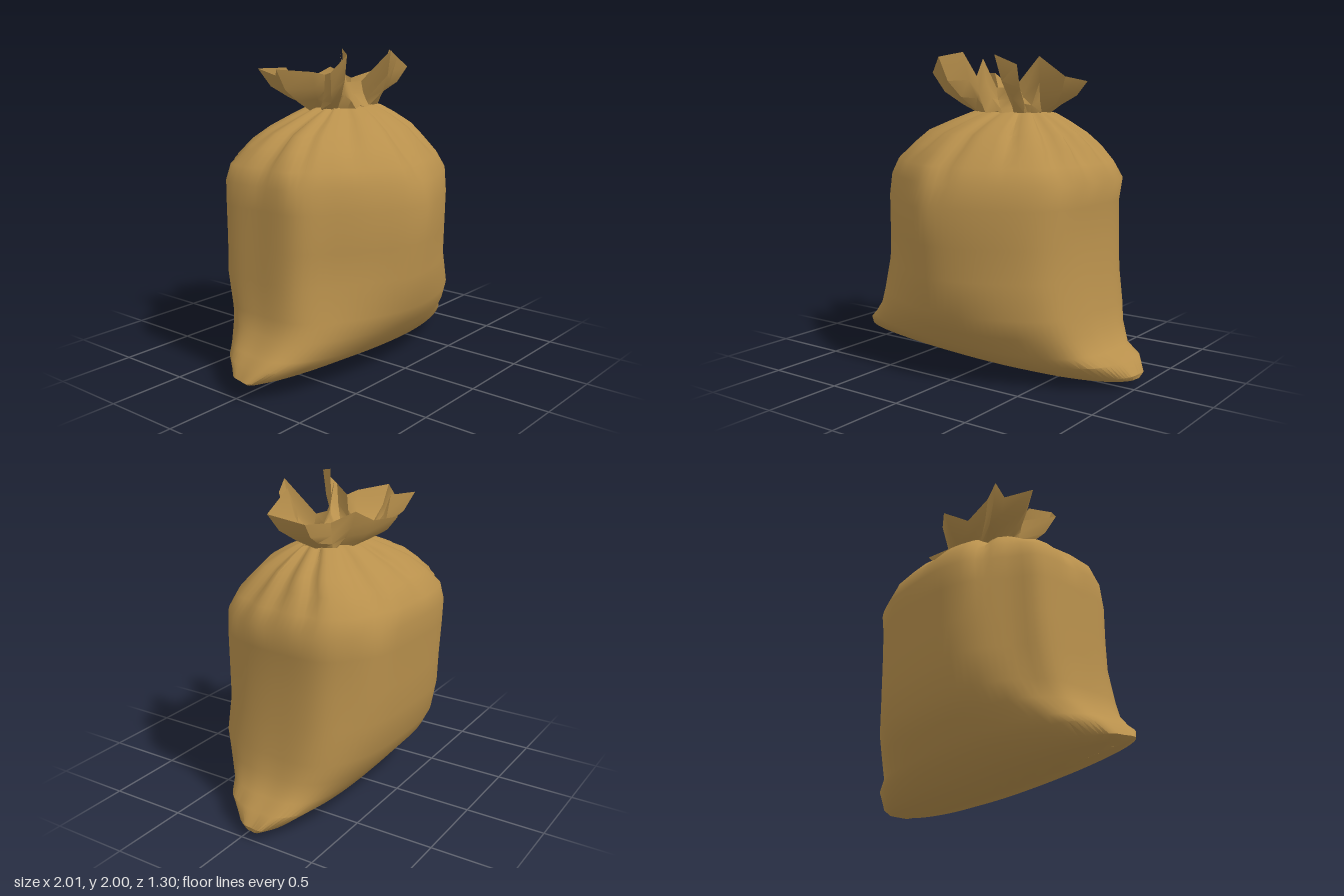
import * as THREE from 'three';
import { toCreasedNormals } from 'three/addons/utils/BufferGeometryUtils.js';

// Skin a list of closed rings (arrays of [x, y, z]) into one surface
function loft(rings, crease) {
  const n = rings[0].length, index = [];
  for (let r = 0; r < rings.length - 1; r++) {
    for (let i = 0; i < n; i++) {
      const a = r * n + i, b = r * n + (i + 1) % n;
      index.push(a, a + n, b, b, a + n, b + n);
    }
  }
  const geo = new THREE.BufferGeometry();
  geo.setAttribute('position', new THREE.Float32BufferAttribute(rings.flat(2), 3));
  geo.setIndex(index);
  return toCreasedNormals(geo, crease);
}

const NECK = [0.07, 1.62, -0.06];

// Smooth closed plan outline, scaled to the unit square (x, z)
const outline = (points) => new THREE.CatmullRomCurve3(
  points.map(([x, z]) => new THREE.Vector3(x, 0, z)), true).getSpacedPoints(96).slice(0, 96);

// Plan of the stuffed middle
const MIDDLE = outline([
  [0.98, -0.1], [0.91, 0.38], [0.75, 0.66], [0.24, 0.95], [-0.12, 1], [-0.45, 0.82],
  [-0.75, 0.57], [-0.96, 0.36], [-1, -0.08], [-0.98, -0.5], [-0.82, -0.64], [-0.55, -0.9],
  [-0.33, -0.99], [0.2, -1], [0.58, -0.94], [0.81, -0.77], [0.96, -0.56],
]);

// Plan of the blunt-cornered base
const BASE = outline([
  [1, -0.1], [0.98, 0.25], [0.86, 0.66], [0.5, 0.92], [0, 1], [-0.5, 0.92], [-0.85, 0.7],
  [-1, 0.4], [-1, -0.05], [-0.96, -0.45], [-0.82, -0.75], [-0.45, -0.95], [0, -1],
  [0.5, -0.95], [0.85, -0.77], [0.99, -0.5],
]);

// Body sections: y, left edge, right edge, front depth, back depth
const SECTIONS = [
  [0.00, -0.70, 0.88, 0.00, 0.00],
  [0.02, -0.96, 0.98, 0.13, -0.14],
  [0.05, -1.00, 0.99, 0.21, -0.22],
  [0.14, -0.95, 0.93, 0.37, -0.36],
  [0.20, -0.89, 0.84, 0.43, -0.41],
  [0.32, -0.80, 0.78, 0.53, -0.51],
  [0.44, -0.77, 0.76, 0.60, -0.57],
  [0.65, -0.76, 0.73, 0.615, -0.61],
  [0.85, -0.75, 0.72, 0.63, -0.62],
  [1.08, -0.745, 0.71, 0.645, -0.635],
  [1.22, -0.74, 0.73, 0.61, -0.645],
  [1.32, -0.71, 0.67, 0.56, -0.62],
  [1.42, -0.61, 0.60, 0.46, -0.53],
  [1.50, -0.51, 0.53, 0.38, -0.42],
  [1.57, -0.34, 0.43, 0.26, -0.32],
  [1.62, -0.21, 0.35, 0.15, -0.24],
  [1.63, -0.18, 0.32, 0.11, -0.20],
];

// Gathered folds running down from the neck: angle, half-width, lowest height
const FOLDS = Array.from({ length: 12 }, (_, i) => ({
  angle: (i + 0.25 * Math.sin(i * 5.3)) * Math.PI * 2 / 12,
  width: 0.16 + 0.04 * Math.sin(i * 2.1),
  low: 1.24 + 0.1 * Math.sin(i * 3.7),
}));

function foldDepth(angle, y) {
  let depth = 0;
  for (const f of FOLDS) {
    const d = Math.abs(Math.atan2(Math.sin(angle - f.angle), Math.cos(angle - f.angle)));
    const rise = Math.max(0, (y - f.low) / (1.62 - f.low));
    depth += 0.19 * rise * Math.max(0, 1 - d / f.width);
  }
  return depth;
}

// Sagging bottom seam: the corners lift slightly
function cornerLift(x, y) {
  const lift = x < 0.5 ? 0.08 * ((0.5 - x) / 1.5) ** 2 : 0.03 * ((x - 0.5) / 0.5) ** 2;
  return lift * Math.max(0, 1 - y / 0.5);
}

function bodyRing([y, left, right, front, back]) {
  const cx = (left + right) / 2, hx = (right - left) / 2;
  const rise = THREE.MathUtils.smoothstep(y, 0.15, 0.7);
  // the neck is drawn a little towards the back
  const shift = -0.02 * Math.max(0, (y - 1.3) / 0.3);
  return BASE.map((base, i) => {
    const p = base.clone().lerp(MIDDLE[i], rise);
    const k = 1 - foldDepth(Math.atan2(p.z, p.x), y);
    const x = cx + k * hx * p.x;
    const z = k * p.z * (p.z > 0 ? front : -back);
    // the two bottom corners twist in opposite directions
    const twist = -0.04 * (1 - rise) * Math.sign(x) * x * x;
    return [x, y + cornerLift(x, y), z + shift + twist];
  });
}

// Rim of the ruffle, from the left side round the back to the front
const RIM = [
  [0.55, 1.85, 0.09], [0.55, 1.82, -0.17], [0.28, 1.78, -0.17], [0.22, 1.85, -0.30],
  [0.13, 1.79, -0.37], [0.00, 1.80, -0.46], [-0.09, 1.75, -0.33], [-0.23, 1.87, -0.28],
  [-0.40, 1.87, -0.36], [-0.36, 1.83, -0.25], [-0.49, 1.88, -0.12], [-0.30, 1.86, 0.00],
  [-0.22, 1.84, 0.03], [-0.37, 1.87, 0.20], [-0.28, 1.97, 0.25], [-0.18, 2.00, 0.13],
  [-0.11, 1.85, 0.08], [-0.09, 1.96, 0.04], [0.00, 1.78, 0.02], [0.12, 1.78, 0.04],
  [0.15, 1.98, 0.25], [0.28, 1.92, 0.20], [0.22, 1.80, 0.11], [0.36, 1.97, 0.08],
].reverse();

// Pleated ring where the cloth is tied
const TIE = RIM.map((_, i) => {
  const a = (i + 1) * Math.PI * 2 / RIM.length - 0.2, k = i % 2 ? 1 : 0.8;
  return [NECK[0] + 0.27 * k * Math.cos(a), 1.62 + 0.015 * Math.sin(i * 2.3), NECK[2] + 0.18 * k * Math.sin(a)];
});

// Ring between tie and rim: `out` is the sideways share, `up` the upward share
const between = (out, up) => RIM.map((p, i) => p.map((v, j) => THREE.MathUtils.lerp(TIE[i][j], v, j === 1 ? up : out)));

export function createModel() {
  const burlap = new THREE.MeshStandardMaterial({ color: 0xb8904c, side: THREE.DoubleSide });
  burlap.name = 'burlap';
  const sack = new THREE.Group();
  sack.name = 'sack';
  const add = (name, geometry) => {
    const mesh = new THREE.Mesh(geometry, burlap);
    mesh.name = name;
    sack.add(mesh);
  };

  // Full, pillow-shaped body with gathered shoulders and blunt bottom corners
  add('sackBody', loft(SECTIONS.map(bodyRing), 0.9));

  // Open ruffle above the tie, bulging outwards
  add('ruffle', loft([TIE, between(0.4, 0.25), between(0.76, 0.55), RIM], 0.9));

  // Cloth pinched shut inside the neck
  add('neckClosure', loft([TIE, TIE.map(() => NECK)], 0.7));

  return sack;
}
